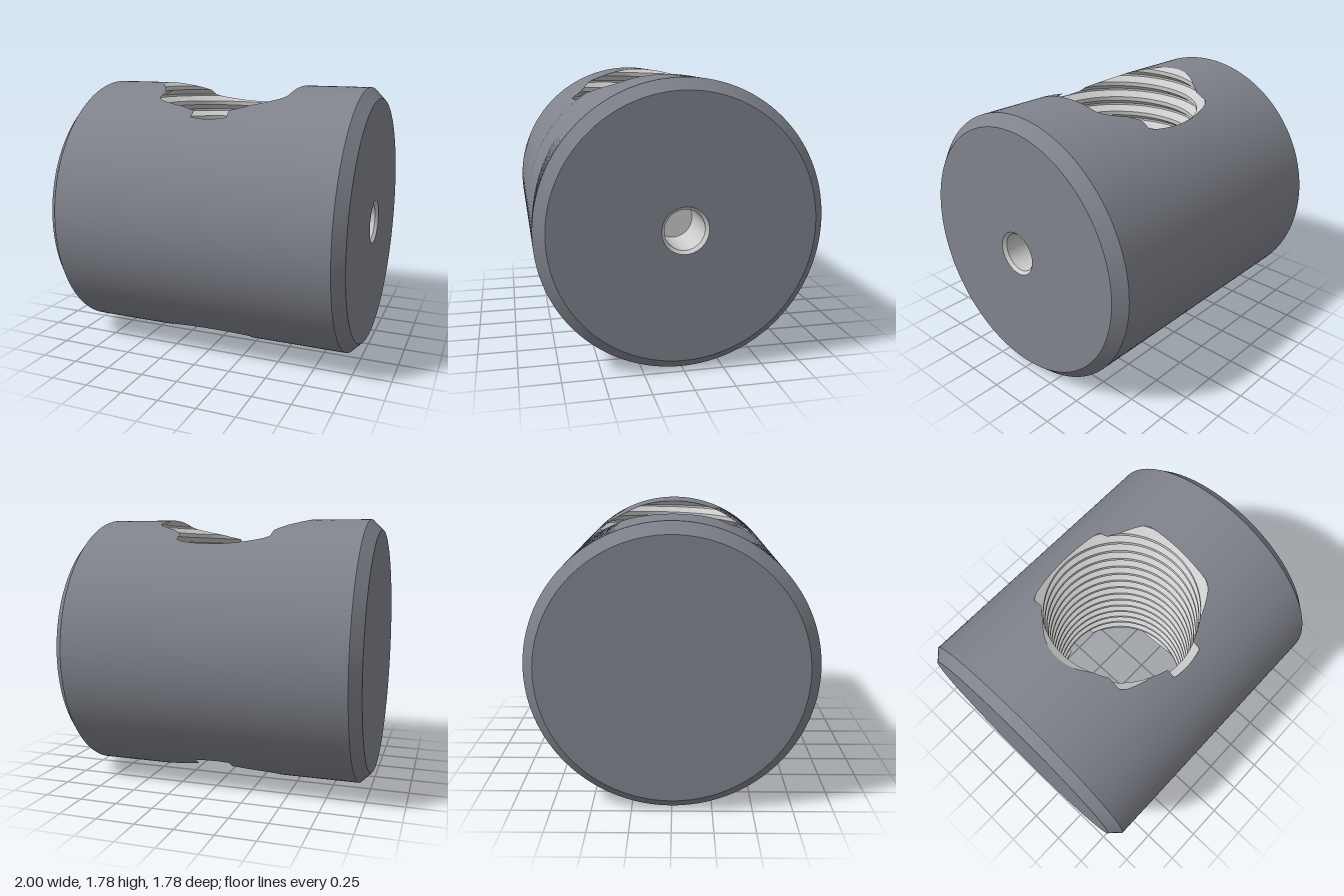
import * as THREE from 'three';
import { toCreasedNormals } from 'three/addons/utils/BufferGeometryUtils.js';

const R = 0.89;          // barrel radius
const EDGE = 0.93;       // where the end chamfers begin
const FACE = 0.82;       // radius of the flat end faces
const CREST = 0.49, ROOT = 0.545;
const GROOVE_Y = 0.707;  // height of a groove centre at angle 0 (towards +z)
const PITCH = (2 * GROOVE_Y) / 12.5;
const COLS = 240;

// radius of the threaded bore at an angle and height
function threadRadius(a, y) {
  const u = (y - GROOVE_Y) / PITCH - a / (2 * Math.PI);
  const d = Math.abs(u - Math.round(u));
  const t = THREE.MathUtils.clamp((d - 0.0625) / (0.375 - 0.0625), 0, 1);
  return ROOT + (CREST - ROOT) * t;
}

// point where the threaded bore breaks through the top of the barrel
function rimAt(a) {
  const height = (r) => Math.sqrt(R * R - (r * Math.cos(a)) ** 2);
  let r = ROOT + 0.001;
  while (r > CREST && r > threadRadius(a, height(r))) r -= 0.0004;
  return { r, y: height(r) };
}

// surface from a rule point(column, row)
function grid(cols, rows, point) {
  const pos = [], index = [];
  for (let i = 0; i <= cols; i++) {
    for (let j = 0; j <= rows; j++) pos.push(...point(i, j));
  }
  for (let i = 0; i < cols; i++) {
    for (let j = 0; j < rows; j++) {
      const a = i * (rows + 1) + j, c = a + rows + 1;
      index.push(a, a + 1, c, a + 1, c + 1, c);
    }
  }
  const g = new THREE.BufferGeometry();
  g.setAttribute('position', new THREE.Float32BufferAttribute(pos, 3));
  g.setIndex(index);
  return g;
}

// upper half of the barrel wall, spread from the bore rim to the straight edges
function halfShell() {
  const rows = 32;
  const g = grid(COLS, rows, (i, j) => {
    const a = (i / COLS) * Math.PI * 2, s = Math.sin(a), c = Math.cos(a);
    const m = Math.max(Math.abs(s), Math.abs(c));
    const { r } = rimAt(a);
    const x = THREE.MathUtils.lerp(r * s, (EDGE * s) / m, j / rows);
    const phi = THREE.MathUtils.lerp(Math.asin((r * c) / R), (Math.PI / 2) * (c / m), j / rows);
    return [x, R * Math.cos(phi), R * Math.sin(phi)];
  });
  const p = g.attributes.position, normals = [];
  for (let i = 0; i < p.count; i++) normals.push(0, p.getY(i) / R, p.getZ(i) / R);
  g.setAttribute('normal', new THREE.Float32BufferAttribute(normals, 3));
  return g;
}

// helical bore wall, trimmed where it meets the barrel
function threadWall() {
  const levels = [];
  for (let k = -17; k <= 3; k++) {
    for (const f of [-0.375, -0.2, -0.0625, 0.0625, 0.2, 0.375]) levels.push(k + f);
  }
  const limits = [];
  for (let i = 0; i <= COLS; i++) {
    const a = (i / COLS) * Math.PI * 2;
    limits.push([-rimAt(Math.PI - a).y, rimAt(a).y]);
  }
  const g = grid(COLS, levels.length - 1, (i, j) => {
    const a = (i / COLS) * Math.PI * 2;
    const raw = GROOVE_Y + PITCH * (a / (2 * Math.PI) + levels[j]);
    const y = THREE.MathUtils.clamp(raw, ...limits[i]);
    const r = threadRadius(a, y);
    return [r * Math.sin(a), y, r * Math.cos(a)];
  });
  return toCreasedNormals(g, 0.4);
}

// turned part around the x axis, points as [radius, x]
function turned(points, segments) {
  const g = new THREE.LatheGeometry(points.map(([r, x]) => new THREE.Vector2(r, x)), segments);
  g.rotateZ(-Math.PI / 2);
  return toCreasedNormals(g, 0.4);
}

export function createModel() {
  const model = new THREE.Group();
  model.name = 'barrelNut';
  const dark = new THREE.MeshStandardMaterial({ color: 0x80838c });
  const bare = new THREE.MeshStandardMaterial({ color: 0xcccccc });

  const add = (name, geometry, material) => {
    const mesh = new THREE.Mesh(geometry, material);
    mesh.name = name;
    mesh.position.y = R;
    model.add(mesh);
    return mesh;
  };

  // barrel wall: the lower half is the upper one turned about the x axis
  const shell = halfShell();
  add('upperBarrel', shell, dark);
  add('lowerBarrel', shell, dark).rotation.x = Math.PI;

  // chamfered ends, the left one with a small blind centre hole
  add('rightEnd', turned([[0, -1], [FACE, -1], [R, -EDGE]], 128), dark);
  add('leftEnd', turned([[R, EDGE], [FACE, 1], [0.145, 1]], 128), dark);
  add('centreHole', turned([[0.145, 1], [0.125, 0.98], [0.125, 0.68], [0, 0.68]], 128), bare);

  // threaded cross bore
  add('threadedBore', threadWall(), bare);

  return model;
}
